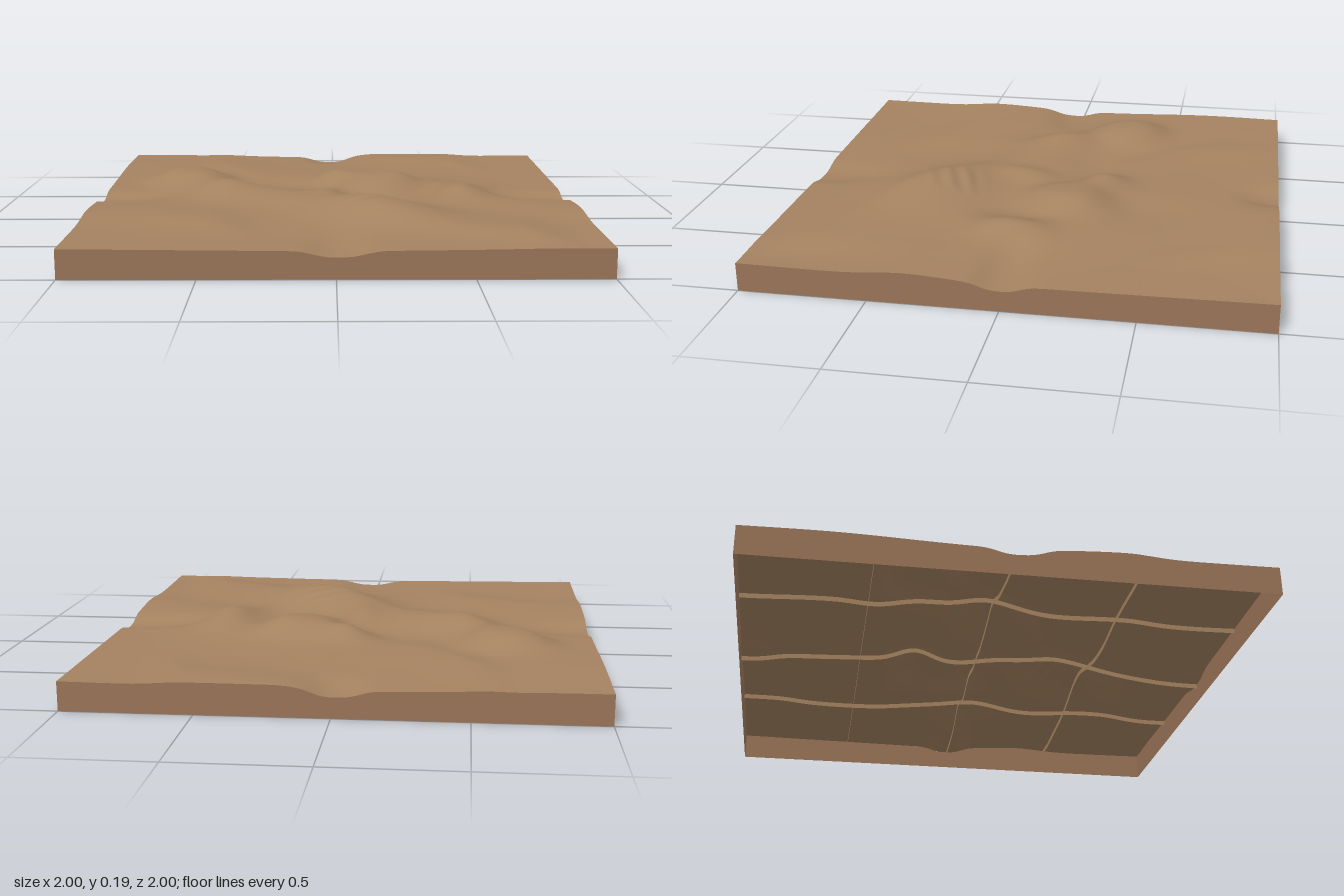
import * as THREE from 'three';

const BASE = 0.103;

// Rounded hills: x, z, radius x, radius z, turn, height, sharpness of the foot
const MOUNDS = [
  [-0.65, -0.3, 0.17, 0.16, 0.5, 0.064, 3],
  [0.2, -0.13, 0.16, 0.18, 0.2, 0.062, 3],
  [0.01, -0.26, 0.1, 0.1, 0, 0.055, 2],
  [-0.5, -0.05, 0.16, 0.13, 0.6, 0.04, 2],
  [0.54, 0.05, 0.11, 0.2, 0.35, 0.045, 2],
  [0.36, -0.2, 0.18, 0.16, 0, 0.028, 2],
  [0.15, 0.43, 0.27, 0.2, 0.5, 0.056, 2.4],
  [-0.3, 0.05, 0.25, 0.15, 0.4, 0.018, 2],
  [-0.03, 0.08, 0.07, 0.13, 0, 0.025, 2],
  [-0.8, -0.65, 0.35, 0.35, 0, 0.015, 2],
  [-0.25, -0.18, 0.18, 0.12, 0, -0.01, 2],
  // notches in the middle of each side
  [1, 0, 0.32, 0.09, 0, -0.024, 3],
  [-1, 0.02, 0.25, 0.1, 0, -0.024, 3],
  [0.01, 1, 0.11, 0.27, 0, -0.022, 3],
  [-0.02, -1, 0.1, 0.15, 0, -0.024, 3],
];

// Scarps: crest points [x, z], height, steep width (+z), gentle width (-z)
const SCARPS = [
  [[[-1.2, 0.4], [-0.75, 0.42], [-0.5, 0.53], [-0.35, 0.62]], 0.018, 0.14, 0.3],
  [[[0.1, -0.95], [0.3, -0.92], [0.55, -0.85], [0.7, -0.72]], 0.016, 0.14, 0.3],
  [[[0.45, -0.05], [0.6, 0.13], [0.8, 0.26], [1.2, 0.45]], 0.017, 0.16, 0.22],
  [[[-0.55, 0.05], [-0.2, 0.15], [0, 0.3], [0.2, 0.5], [0.5, 0.67], [0.85, 0.82]], 0.026, 0.15, 0.3],
  [[[-0.6, -0.75], [-0.3, -0.43], [0, -0.38], [0.2, -0.4]], 0.016, 0.14, 0.3],
];

function crestAt(points, x) {
  for (let i = 1; i < points.length; i++) {
    const [x0, z0] = points[i - 1], [x1, z1] = points[i];
    if (x <= x1 || i === points.length - 1) return z0 + (z1 - z0) * (x - x0) / (x1 - x0);
  }
}

function height(x, z) {
  let y = BASE + 0.01 * Math.max(Math.abs(x), Math.abs(z)) ** 6 * Math.abs(x * z);
  for (const [cx, cz, rx, rz, turn, h, p] of MOUNDS) {
    const c = Math.cos(turn), s = Math.sin(turn), dx = x - cx, dz = z - cz;
    const d = Math.hypot((c * dx + s * dz) / rx, (c * dz - s * dx) / rz);
    y += h * Math.exp(-(d ** p));
  }
  for (const [points, h, steep, gentle] of SCARPS) {
    const d = z - crestAt(points, x);
    const fade = THREE.MathUtils.smoothstep(x, points[0][0] - 0.08, points[0][0] + 0.12)
      * (1 - THREE.MathUtils.smoothstep(x, points.at(-1)[0] - 0.15, points.at(-1)[0] + 0.08));
    y += h * fade * Math.exp(-((d / (d > 0 ? steep : gentle)) ** 2));
  }
  // narrow terraces on the main hill
  const near = Math.exp(-(((x - 0.15) / 0.1) ** 4) - ((z - 0.36) / 0.11) ** 4);
  return y + 0.004 * near * Math.sin((z + 0.35 * x) * 75);
}

// Vertical strip below the terrain between two points
function curtain(x0, z0, x1, z1, bottomOf) {
  const geo = new THREE.PlaneGeometry(1, 1, 128, 1);
  const pos = geo.attributes.position;
  for (let i = 0; i < pos.count; i++) {
    const t = pos.getX(i) + 0.5;
    const x = x0 + (x1 - x0) * t, z = z0 + (z1 - z0) * t, top = height(x, z);
    pos.setXYZ(i, x, pos.getY(i) > 0 ? top : bottomOf(top), z);
  }
  geo.computeVertexNormals();
  return geo;
}

export function createModel() {
  const group = new THREE.Group();
  group.name = 'terrainTile';
  const soil = new THREE.MeshStandardMaterial({ color: 0xa48260, side: THREE.DoubleSide });
  const earth = new THREE.MeshStandardMaterial({ color: 0x9a7458, side: THREE.DoubleSide });
  const add = (name, geo, mat) => {
    const mesh = new THREE.Mesh(geo, mat);
    mesh.name = name;
    group.add(mesh);
  };

  // Ground surface
  const ground = new THREE.PlaneGeometry(2, 2, 160, 160).rotateX(-Math.PI / 2);
  const pos = ground.attributes.position;
  for (let i = 0; i < pos.count; i++) pos.setY(i, height(pos.getX(i), pos.getZ(i)));
  ground.computeVertexNormals();
  add('ground', ground, soil);

  // Outer walls down to the floor
  const floor = () => 0;
  add('frontWall', curtain(-1, 1, 1, 1, floor), earth);
  add('leftWall', curtain(1, 1, 1, -1, floor), earth);
  add('backWall', curtain(1, -1, -1, -1, floor), earth);
  add('rightWall', curtain(-1, -1, -1, 1, floor), earth);

  // Thin seams hanging under the ground, splitting it into a four by four grid
  const seam = (top) => top - 0.02;
  for (const p of [-0.5, 0, 0.5]) {
    add('lengthwiseSeam', curtain(p, -1, p, 1, seam), soil);
    add('crosswiseSeam', curtain(-1, p, 1, p, seam), soil);
  }
  return group;
}
